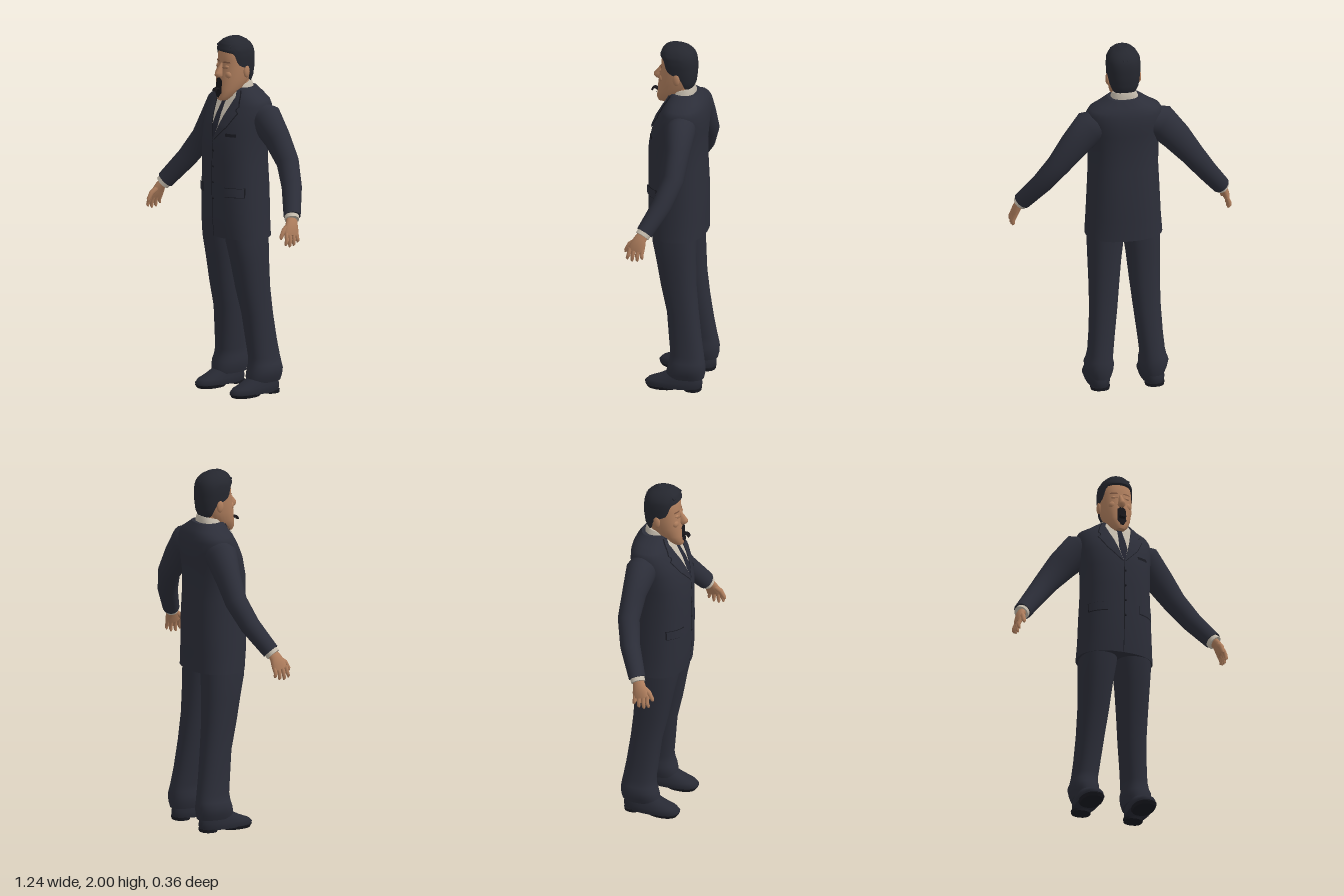
import * as THREE from 'three';

const mat = (name, color, side = THREE.FrontSide) => {
  const m = new THREE.MeshStandardMaterial({ color, side });
  m.name = name;
  return m;
};
const N = 2.3; // roundness of the cross-sections
const V = (x, y, z) => new THREE.Vector3(x, y, z);
const power = c => Math.sign(c) * Math.abs(c) ** (2 / N);

// Interpolates a table whose rows start with their key
function at(table, k) {
  let i = 0;
  while (i < table.length - 2 && k > table[i + 1][0]) i++;
  const a = table[i], b = table[i + 1];
  const t = THREE.MathUtils.clamp((k - a[0]) / (b[0] - a[0]), 0, 1);
  return a.map((v, j) => v + (b[j] - v) * t);
}

// Skins closed rings of points, with separate end caps
function skin(rings, caps = true) {
  const pos = [], idx = [], n = rings[0].length;
  rings.forEach(r => r.forEach(p => pos.push(p.x, p.y, p.z)));
  for (let i = 0; i < rings.length - 1; i++) for (let j = 0; j < n; j++) {
    const a = i * n + j, b = i * n + (j + 1) % n;
    idx.push(a, a + n, b, a + n, b + n, b);
  }
  if (caps) [rings[0], rings[rings.length - 1]].forEach((r, end) => {
    const base = pos.length / 3, c = V(0, 0, 0);
    r.forEach(p => { pos.push(p.x, p.y, p.z); c.addScaledVector(p, 1 / n); });
    pos.push(c.x, c.y, c.z);
    for (let j = 0; j < n; j++) {
      const a = base + j, b = base + (j + 1) % n;
      end ? idx.push(base + n, b, a) : idx.push(base + n, a, b);
    }
  });
  const g = new THREE.BufferGeometry();
  g.setAttribute('position', new THREE.Float32BufferAttribute(pos, 3));
  g.setIndex(idx);
  g.computeVertexNormals();
  return g;
}

// Upright body from rows [y, xMin, xMax, zFront, zBack]
const stack = (rows, tilt = 0, n = 32) => skin(rows.map(([y, x0, x1, f, b]) =>
  Array.from({ length: n }, (_, j) => {
    const a = j / n * Math.PI * 2, dz = (f - b) / 2 * power(Math.sin(a));
    return V((x0 + x1) / 2 + (x1 - x0) / 2 * power(Math.cos(a)), y - tilt * dz, (f + b) / 2 + dz);
  })));
// Symmetric body from rows [y, halfWidth, zFront, zBack]
const body = (rows, tilt) => stack(rows.map(([y, r, f, b]) => [y, -r, r, f, b]), tilt);

// Limb along a path from rows [x, y, z, thickness, depth]
function limb(rows, s, n = 16) {
  const p = rows.map(r => V(r[0] * s, r[1], r[2]));
  return skin(rows.map((r, i) => {
    const t = p[Math.min(i + 1, p.length - 1)].clone().sub(p[Math.max(i - 1, 0)]).normalize();
    const w = V(0, 0, 1).addScaledVector(t, -t.z).normalize(), u = t.clone().cross(w);
    return Array.from({ length: n }, (_, j) => {
      const a = j / n * Math.PI * 2;
      return p[i].clone().addScaledVector(u, r[3] * Math.cos(a)).addScaledVector(w, r[4] * Math.sin(a));
    });
  }));
}

// Front surface of a symmetric body
function frontZ(table, x, y) {
  const [, r, f, b] = at(table, y);
  return (f + b) / 2 + (f - b) / 2 * Math.max(0, 1 - Math.abs(x / r) ** N) ** (1 / N);
}
// Thin panel lying on a body, rows [y, x0, x1] from top to bottom
function drape(table, rows, off, s = 1) {
  const pos = [], idx = [], cols = 8, steps = 24, up = rows.slice().reverse();
  for (let i = 0; i <= steps; i++) {
    const y = rows[0][0] + (up[0][0] - rows[0][0]) * i / steps;
    const e = at(up, y).slice(1).map(x => x * s).sort((a, b) => a - b);
    for (let j = 0; j <= cols; j++) {
      const x = e[0] + (e[1] - e[0]) * j / cols;
      pos.push(x, y, frontZ(table, x, y) + off);
      if (i < steps && j < cols) {
        const a = i * (cols + 1) + j, b = a + cols + 1;
        idx.push(a, b, a + 1, b, b + 1, a + 1);
      }
    }
  }
  const g = new THREE.BufferGeometry();
  g.setAttribute('position', new THREE.Float32BufferAttribute(pos, 3));
  g.setIndex(idx);
  g.computeVertexNormals();
  return g;
}

const TORSO = [[0.89, 0.215, 0.16, -0.15], [1, 0.207, 0.172, -0.15], [1.15, 0.2, 0.175, -0.152],
  [1.3, 0.193, 0.175, -0.145], [1.42, 0.195, 0.172, -0.142], [1.52, 0.205, 0.15, -0.15],
  [1.58, 0.21, 0.125, -0.155], [1.63, 0.212, 0.097, -0.15], [1.66, 0.195, 0.082, -0.142],
  [1.685, 0.15, 0.069, -0.13], [1.72, 0.095, 0.052, -0.105]];
const HEAD = [[1.655, 0.025, 0.128, 0.07], [1.68, 0.048, 0.136, 0.03], [1.72, 0.068, 0.13, -0.02],
  [1.77, 0.08, 0.126, -0.06], [1.82, 0.086, 0.118, -0.075], [1.88, 0.089, 0.108, -0.08],
  [1.93, 0.085, 0.105, -0.075], [1.965, 0.06, 0.08, -0.05], [1.98, 0.03, 0.05, -0.01]];
const HAIR = [[1.74, 0.062, 0.05, -0.068], [1.78, 0.082, 0.08, -0.085], [1.84, 0.092, 0.113, -0.093],
  [1.9, 0.095, 0.113, -0.093], [1.94, 0.091, 0.114, -0.086], [1.97, 0.073, 0.102, -0.066],
  [1.988, 0.052, 0.085, -0.042], [2, 0.025, 0.06, -0.015]];
// Hairline height from nape (-1) to forehead (1)
const HAIRLINE = [[-1, 1.745], [-0.4, 1.755], [-0.15, 1.83], [0.1, 1.84], [0.45, 1.86], [0.65, 1.925], [1, 1.935]];

export function createModel() {
  const g = new THREE.Group();
  const suit = mat('suit', 0x2c2e39), seam = mat('seam', 0x191a21), tieMat = mat('tie', 0x252733);
  const shirt = mat('shirt', 0xc4bbac), flesh = mat('skin', 0xb07f5e), crease = mat('skinCrease', 0x7d5640);
  const hairMat = mat('hair', 0x25272f, THREE.DoubleSide), shoe = mat('shoe', 0x272933), mouthMat = mat('mouth', 0x18161a);
  const add = (name, geo, m) => {
    const o = new THREE.Mesh(geo, m);
    o.name = name;
    g.add(o);
    return o;
  };
  const ball = (name, m, p, size) => {
    const o = add(name, new THREE.SphereGeometry(1, 16, 12), m);
    o.position.set(...p);
    o.scale.set(...size);
  };

  // Jacket, shirt front and tie
  add('jacket', body(TORSO), suit);
  add('shirtCollar', body([[1.67, 0.09, 0.06, -0.085], [1.715, 0.078, 0.055, -0.085], [1.742, 0.066, 0.045, -0.078]], 0.25), shirt);
  add('shirtFront', drape(TORSO, [[1.715, -0.06, 0.06], [1.68, -0.075, 0.075], [1.55, -0.037, 0.037], [1.45, -0.005, 0.005]], 0.003), shirt);
  add('tie', drape(TORSO, [[1.68, -0.022, 0.022], [1.64, -0.014, 0.014], [1.52, -0.024, 0.024], [1.45, -0.005, 0.005]], 0.007), tieMat);
  add('frontSeam', drape(TORSO, [[1.45, -0.003, 0.001], [0.891, -0.003, 0.001]], 0.003), seam);
  for (const y of [1.38, 1.29, 1.2, 1.11]) ball('button', seam, [0.006, y, frontZ(TORSO, 0, y)], [0.007, 0.007, 0.005]);
  add('breastPocket', drape(TORSO, [[1.485, 0.085, 0.145], [1.468, 0.085, 0.145]], 0.004), seam);

  // Head, neck and face
  add('neck', body([[1.64, 0.06, 0.045, -0.065], [1.74, 0.057, 0.045, -0.062], [1.8, 0.06, 0.05, -0.065]]), flesh);
  add('head', body(HEAD), flesh);
  add('nose', body([[1.785, 0.014, 0.142, 0.09], [1.797, 0.021, 0.154, 0.09], [1.812, 0.017, 0.154, 0.09], [1.865, 0.009, 0.112, 0.08]]), flesh);
  add('mouth', drape(HEAD, [[1.782, -0.008, 0.008], [1.77, -0.024, 0.024], [1.7, -0.026, 0.026], [1.672, -0.008, 0.008]], 0.004), mouthMat);
  const tongue = new THREE.CatmullRomCurve3([V(0, 1.7, 0.12), V(0, 1.722, 0.14), V(0, 1.722, 0.155), V(0, 1.708, 0.164)]);
  add('tongue', new THREE.TubeGeometry(tongue, 12, 0.006, 8), mouthMat).scale.x = 3;

  // Hair shell with a shaped hairline, and swept locks on top
  const rings = [];
  for (let i = 0; i <= 14; i++) rings.push(Array.from({ length: 48 }, (_, j) => {
    const a = j / 48 * Math.PI * 2, low = at(HAIRLINE, Math.sin(a))[1];
    const y = low + (2 - low) * i / 14, [, r, f, b] = at(HAIR, y);
    return V(r * power(Math.cos(a)), y, (f + b) / 2 + (f - b) / 2 * power(Math.sin(a)));
  }));
  add('hair', skin(rings), hairMat);
  for (const s of [-1, 1]) for (const x of [0.03, 0.052]) {
    const path = new THREE.CatmullRomCurve3([V(s * x, 1.955, 0.098), V(s * x * 0.9, 1.983, 0.04), V(s * x * 0.6, 1.975, -0.04), V(s * 0.01, 1.945, -0.08)]);
    add('hairLock', new THREE.TubeGeometry(path, 16, 0.006, 6), hairMat);
  }

  for (const s of [-1, 1]) {
    // Face details
    ball('ear', flesh, [s * 0.089, 1.815, 0.005], [0.011, 0.034, 0.02]);
    ball('eyelid', flesh, [s * 0.034, 1.845, 0.1], [0.018, 0.01, 0.012]);
    ball('cheek', flesh, [s * 0.04, 1.8, 0.095], [0.025, 0.025, 0.02]);
    add('closedEye', drape(HEAD, [[1.842, 0.018, 0.05], [1.838, 0.02, 0.048]], 0.008, s), crease);
    add('eyebrow', drape(HEAD, [[1.875, 0.02, 0.055], [1.867, 0.014, 0.06]], 0.003, s), crease);

    // Lapels and pocket flaps, each over a darker edge
    const lapel = e => [[1.71, 0.062, 0.08 + e], [1.68, 0.076, 0.1 + e], [1.625, 0.06, 0.122 + e],
      [1.615, 0.057, 0.098 + e], [1.6, 0.052, 0.128 + e], [1.52, 0.028, 0.085 + e], [1.44, 0.002, 0.008 + e]];
    add('lapelEdge', drape(TORSO, lapel(0.004), 0.004, s), seam);
    add('lapel', drape(TORSO, lapel(0), 0.008, s), suit);
    add('pocketEdge', drape(TORSO, [[1.182, 0.092, 0.184], [1.128, 0.092, 0.184]], 0.003, s), seam);
    add('pocketFlap', drape(TORSO, [[1.18, 0.094, 0.182], [1.132, 0.094, 0.182]], 0.007, s), suit);

    // Sleeve and shirt cuff
    add('sleeve', limb([[0.12, 1.57, -0.04, 0.08, 0.075], [0.2, 1.555, -0.045, 0.098, 0.085], [0.285, 1.46, -0.055, 0.084, 0.066],
      [0.375, 1.345, -0.055, 0.067, 0.06], [0.46, 1.225, -0.015, 0.058, 0.055], [0.556, 1.092, 0.06, 0.05, 0.046]], s, 24), suit);
    add('shirtCuff', limb([[0.54, 1.11, 0.05, 0.04, 0.04], [0.567, 1.075, 0.07, 0.042, 0.04]], s), shirt);

    // Hand with fingers and thumb
    add('palm', limb([[0.555, 1.09, 0.062, 0.024, 0.03], [0.575, 1.06, 0.078, 0.023, 0.035], [0.588, 1.025, 0.09, 0.021, 0.045], [0.597, 0.995, 0.097, 0.014, 0.044]], s), flesh);
    [0.06, 0.084, 0.109, 0.132].forEach((z, i) => {
      const tip = [0.952, 0.937, 0.934, 0.945][i];
      add('finger', limb([[0.592, 1.01, z, 0.012, 0.012], [0.606, 0.975, z + 0.004, 0.012, 0.011],
        [0.606, tip + 0.01, z + i * 0.004, 0.01, 0.009], [0.601, tip, z + i * 0.004, 0.004, 0.004]], s, 10), flesh);
    });
    add('thumb', limb([[0.575, 1.055, 0.095, 0.015, 0.016], [0.58, 1.025, 0.137, 0.014, 0.015],
      [0.582, 0.99, 0.158, 0.011, 0.011], [0.582, 0.978, 0.161, 0.005, 0.005]], s, 10), flesh);

    // Trouser leg and shoe
    const side = rows => stack(rows.map(([y, a, b, f, k]) => [y, Math.min(a * s, b * s), Math.max(a * s, b * s), f, k]));
    add('trouserLeg', side([[0.07, 0.085, 0.212, 0.038, -0.168], [0.1, 0.075, 0.225, 0.042, -0.175], [0.14, 0.07, 0.234, 0.032, -0.176],
      [0.17, 0.077, 0.222, 0.024, -0.172], [0.21, 0.074, 0.214, 0.02, -0.165], [0.3, 0.064, 0.206, 0.03, -0.15],
      [0.45, 0.046, 0.198, 0.045, -0.13], [0.6, 0.03, 0.197, 0.08, -0.115], [0.75, 0.015, 0.2, 0.108, -0.11],
      [0.86, 0, 0.202, 0.132, -0.11], [0.97, -0.01, 0.195, 0.14, -0.11]]), suit);
    add('shoe', side([[0.014, 0.088, 0.217, 0.158, -0.155], [0.03, 0.085, 0.22, 0.163, -0.16], [0.048, 0.087, 0.218, 0.145, -0.16],
      [0.07, 0.095, 0.21, 0.09, -0.155], [0.1, 0.1, 0.2, 0.03, -0.14]]), shoe);
    add('heel', side([[0, 0.1, 0.205, -0.06, -0.155], [0.018, 0.098, 0.208, -0.06, -0.157]]), seam);
    add('sole', side([[0, 0.095, 0.21, 0.148, -0.02], [0.018, 0.088, 0.218, 0.16, -0.04]]), seam);
  }
  return g;
}
